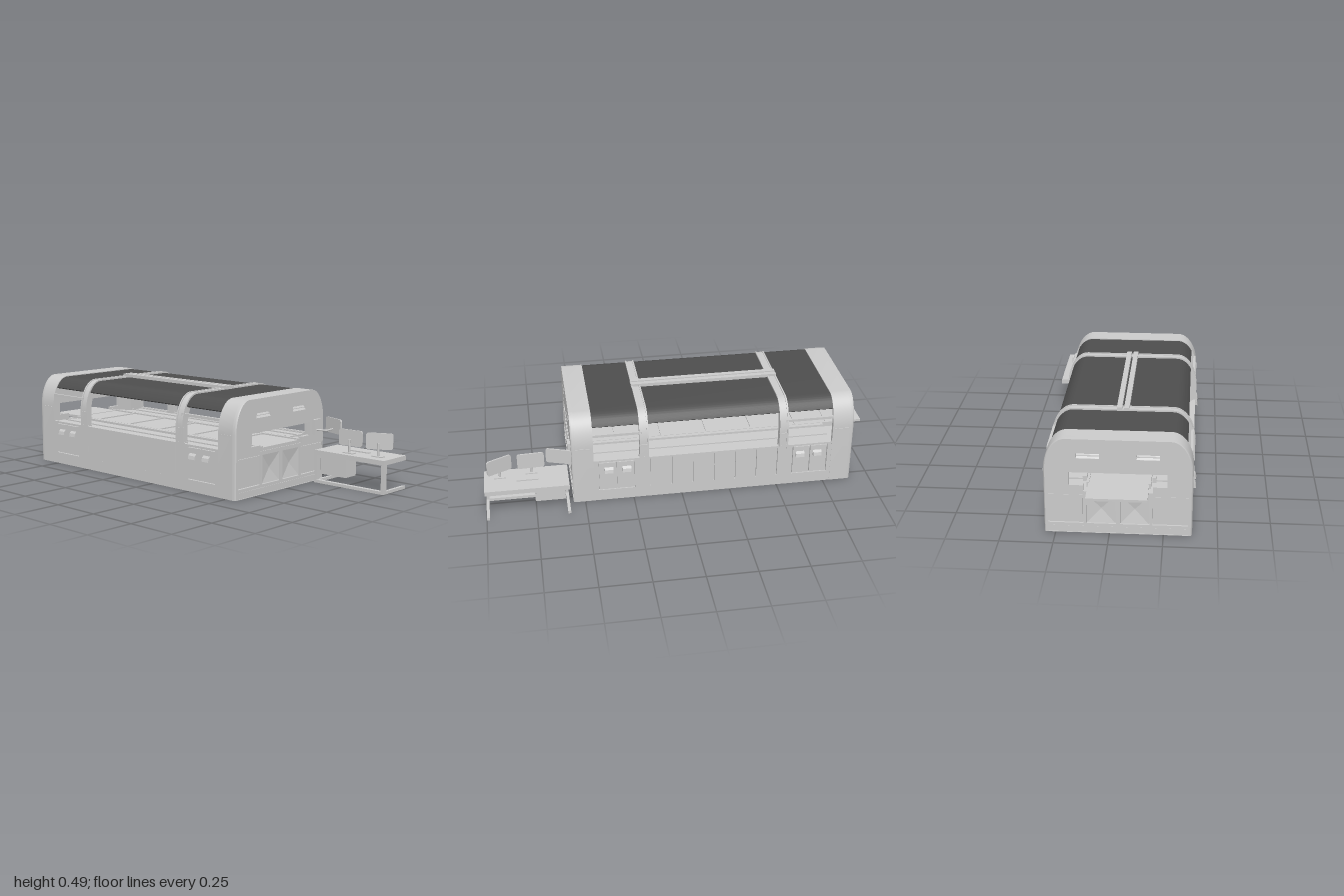
import * as THREE from 'three';
import { toCreasedNormals } from 'three/addons/utils/BufferGeometryUtils.js';

const grey = new THREE.MeshStandardMaterial({ color: 0xcccccc, side: THREE.DoubleSide });
const dark = new THREE.MeshStandardMaterial({ color: 0x4e4e4e, side: THREE.DoubleSide });

const END = 0.7275;   // half length of the housing
const CAP = 0.6175;   // where the end caps begin
const SIDES = [-1, 1];
const points = list => list.map(p => new THREE.Vector2(...p));

function add(parent, name, geometry, material = grey) {
  const mesh = new THREE.Mesh(geometry, material);
  mesh.name = name;
  parent.add(mesh);
  return mesh;
}

// Box given by its minimum and maximum corners
function box(parent, name, x0, x1, y0, y1, z0, z1) {
  const mesh = add(parent, name, new THREE.BoxGeometry(x1 - x0, y1 - y0, z1 - z0));
  mesh.position.set((x0 + x1) / 2, (y0 + y1) / 2, (z0 + z1) / 2);
}

// Housing outline: straight sides with elliptical shoulders, offset outwards
function outline(offset, startAngle = 0, baseY) {
  const right = [];
  if (baseY !== undefined) right.push(new THREE.Vector2(0.343 + offset, baseY));
  for (let i = 0; i <= 16; i++) {
    const a = startAngle + (Math.PI / 2 - startAngle) * i / 16;
    right.push(new THREE.Vector2(0.24 + (0.103 + offset) * Math.cos(a), 0.315 + (0.16 + offset) * Math.sin(a)));
  }
  return [...right, ...right.map(p => new THREE.Vector2(-p.x, p.y)).reverse()];
}

// Curved band following the outline
function band(parent, name, offset, thick, z0, z1, startAngle, baseY, material = grey) {
  const shape = new THREE.Shape([
    ...outline(offset, startAngle, baseY),
    ...outline(offset - thick, startAngle, baseY).reverse(),
  ]);
  const geo = new THREE.ExtrudeGeometry(shape, { depth: z1 - z0, bevelEnabled: false });
  geo.translate(0, 0, z0);
  add(parent, name, toCreasedNormals(geo, 0.5), material);
}

function buildEnd() {
  const end = new THREE.Group();
  end.name = 'endCap';
  band(end, 'capShell', 0, 0.02, CAP, END - 0.02, 0, 0);

  // End wall with stepped feed opening, panel recesses and vent slots
  const wall = new THREE.Shape(outline(0, 0, 0));
  const cut = (x0, x1, y0, y1) =>
    wall.holes.push(new THREE.Path(points([[x0, y0], [x0, y1], [x1, y1], [x1, y0]])));
  wall.holes.push(new THREE.Path(points([
    [-0.225, 0.31], [-0.225, 0.245], [-0.16, 0.245], [-0.16, 0.215],
    [0.16, 0.215], [0.16, 0.245], [0.225, 0.245], [0.225, 0.31],
  ])));

  box(end, 'wallBacking', -0.333, 0.333, 0, 0.205, END - 0.021, END - 0.015);
  cut(-0.33, 0.33, 0.002, 0.035);
  box(end, 'plinthStrip', -0.328, 0.328, 0.002, 0.033, END - 0.016, END - 0.003);
  for (const s of SIDES) {
    // Flat outer panel
    const [p0, p1] = [s * 0.16, s * 0.33].sort((a, b) => a - b);
    cut(p0, p1, 0.05, 0.197);
    box(end, 'flatPanel', p0 + 0.003, p1 - 0.003, 0.053, 0.194, END - 0.016, END - 0.004);

    // Middle panel dished as a shallow pyramid
    const cx = s * 0.0775;
    cut(cx - 0.0675, cx + 0.0675, 0.05, 0.197);
    const pyramid = new THREE.CylinderGeometry(0.02, Math.SQRT1_2, 1, 4, 1, true);
    pyramid.rotateY(Math.PI / 4);
    pyramid.rotateX(-Math.PI / 2);
    const panel = add(end, 'dishedPanel', toCreasedNormals(pyramid, 0.05));
    panel.scale.set(0.13, 0.142, 0.011);
    panel.position.set(cx, 0.1235, END - 0.0095);

    // Vent slot with sloping louvre and middle bar
    const [v0, v1] = [s * 0.085, s * 0.19].sort((a, b) => a - b);
    cut(v0, v1, 0.381, 0.405);
    box(end, 'ventBar', v0, v1, 0.392, 0.395, END - 0.012, END - 0.002);
    const louvre = add(end, 'ventLouvre', new THREE.PlaneGeometry(0.105, 0.031));
    louvre.position.set(s * 0.1375, 0.393, END - 0.011);
    louvre.rotation.x = -0.68;

    // Side trim of the cap
    box(end, 'capTrim', s * 0.343 - 0.003, s * 0.343 + 0.003, 0.305, 0.313, CAP + 0.01, END - 0.02);
  }

  // Soften the outer vertical corners
  const geo = new THREE.ExtrudeGeometry(wall, { depth: 0.02, steps: 5, bevelEnabled: false });
  const pos = geo.attributes.position;
  for (let i = 0; i < pos.count; i++) {
    const x = pos.getX(i), t = Math.min(1, pos.getZ(i) / 0.02);
    const reach = Math.max(0, Math.abs(x) - 0.24) / 0.103;
    pos.setX(i, x - Math.sign(x) * reach * 0.007 * (1 - Math.sqrt(1 - t * t)));
  }
  geo.translate(0, 0, END - 0.02);
  add(end, 'endWall', toCreasedNormals(geo, 0.5));
  return end;
}

function buildSide(s) {
  const side = new THREE.Group();
  side.name = 'sideWall';
  const slab = (name, x0, x1, ...r) =>
    box(side, name, Math.min(s * x0, s * x1), Math.max(s * x0, s * x1), ...r);
  slab('wall', 0.318, 0.33, 0, 0.232, -CAP, CAP);
  slab('plinth', 0.325, 0.342, 0, 0.06, -CAP, CAP);
  slab('topFascia', 0.325, 0.342, 0.225, 0.235, -CAP, CAP);
  slab('ledge', 0.17, 0.325, 0.22, 0.227, -CAP, CAP);
  slab('ledgeStrip', 0.25, 0.256, 0.225, 0.233, -CAP, CAP);
  slab('innerRail', 0.152, 0.172, 0.2, 0.238, -CAP, CAP);

  // Plain panels between vertical seams
  for (let i = -3; i < 3; i++) {
    slab('sidePanel', 0.325, 0.342, 0.06, 0.225, i * 0.11 + 0.0025, (i + 1) * 0.11 - 0.0025);
  }
  for (const e of SIDES) {
    const along = (name, x0, x1, y0, y1, z0, z1) =>
      slab(name, x0, x1, y0, y1, Math.min(e * z0, e * z1), Math.max(e * z0, e * z1));
    along('sidePanel', 0.325, 0.342, 0.06, 0.225, 0.3325, 0.41);
    along('sidePanel', 0.325, 0.342, 0.06, 0.225, 0.596, CAP);
    // Pair of doors with hooded handles
    for (const z of [0.4575, 0.5485]) {
      along('door', 0.325, 0.342, 0.064, 0.221, z - 0.0435, z + 0.0435);
      const hood = new THREE.Shape(points([[0, 0], [0.015, 0], [0.011, 0.018], [0, 0.03]]));
      const geo = new THREE.ExtrudeGeometry(hood, { depth: 0.044, bevelEnabled: false });
      geo.translate(0, 0, -0.022);
      if (s < 0) geo.rotateY(Math.PI);
      add(side, 'doorHandle', geo).position.set(s * 0.341, 0.165, e * (z - 0.007));
    }
    // Guard rail between arch and cap, joint and foot of the arch
    along('guardRail', 0.326, 0.338, 0.371, 0.384, 0.37, CAP);
    along('archJoint', 0.338, 0.348, 0.304, 0.313, 0.336, 0.384);
    along('archFoot', 0.312, 0.344, 0.225, 0.24, 0.334, 0.386);
  }
  return side;
}

function buildMachine() {
  const machine = new THREE.Group();
  machine.name = 'machine';
  machine.position.set(-0.04, 0, -0.1675);

  const front = buildEnd();
  const back = buildEnd();
  back.rotation.y = Math.PI;
  machine.add(front, back);
  for (const s of SIDES) machine.add(buildSide(s));

  // Dark canopy, arches and ridge rails
  band(machine, 'canopy', -0.004, 0.008, -CAP, CAP, 0.716, undefined, dark);
  for (const s of SIDES) {
    const z = s * 0.36;
    band(machine, 'arch', 0, 0.03, z - 0.022, z + 0.022, 0, 0.22);
    for (const e of SIDES) {
      const r = z + e * 0.019;
      band(machine, 'archRib', 0.004, 0.037, r - 0.004, r + 0.004, 0, 0.22);
    }
    box(machine, 'ridgeRail', s * 0.0175 - 0.0125, s * 0.0175 + 0.0125, 0.466, 0.488, -0.385, 0.385);
  }

  // Deck and conveyor bed
  box(machine, 'deck', -0.29, 0.29, 0.203, 0.212, -END + 0.02, END - 0.02);
  box(machine, 'conveyorBed', -0.14, 0.14, 0.212, 0.231, -0.68, END - 0.004);
  for (const s of SIDES) {
    box(machine, 'conveyorRail', s * 0.143 - 0.006, s * 0.143 + 0.006, 0.205, 0.238, -0.68, END - 0.004);
  }
  for (let i = -2; i <= 2; i++) {
    box(machine, 'crossBar', -0.14, 0.14, 0.229, 0.237, i * 0.24 - 0.008, i * 0.24 + 0.008);
  }
  // Fittings under the deck
  for (let i = 0; i < 4; i++) {
    const z = -0.42 + i * 0.28;
    box(machine, 'underPanel', -0.12, 0.12, 0.198, 0.205, z - 0.12, z + 0.12);
    add(machine, 'drain', new THREE.CylinderGeometry(0.035, 0.035, 0.01, 20)).position.set(i % 2 ? 0.06 : -0.06, 0.199, z);
  }
  box(machine, 'outfeedTray', -0.14, 0.14, 0.222, 0.234, -0.8325, -0.64);
  return machine;
}

// Rounded screen spanning two points in plan
function screen(parent, a, b, y0, y1) {
  const w = Math.hypot(b[0] - a[0], b[1] - a[1]), h = y1 - y0, r = 0.012;
  const s = new THREE.Shape();
  const corners = [[1, 1], [-1, 1], [-1, -1], [1, -1]];
  corners.forEach(([i, j], k) =>
    s.absarc(i * (w / 2 - r), j * (h / 2 - r), r, k * Math.PI / 2, (k + 1) * Math.PI / 2));
  const geo = new THREE.ExtrudeGeometry(s, { depth: 0.008, bevelEnabled: false, curveSegments: 6 });
  geo.translate(0, 0, -0.004);
  const mesh = add(parent, 'screen', toCreasedNormals(geo, 0.5));
  mesh.position.set((a[0] + b[0]) / 2, (y0 + y1) / 2, (a[1] + b[1]) / 2);
  mesh.rotation.y = Math.atan2(a[1] - b[1], b[0] - a[0]);
}

function buildDesk() {
  const desk = new THREE.Group();
  desk.name = 'operatorDesk';
  box(desk, 'desktop', 0.203, 0.396, 0.145, 0.169, 0.58, 1);
  for (const z of [0.58, 0.985]) {
    box(desk, 'leg', 0.203, 0.23, 0, 0.15, z, z + 0.015);
    box(desk, 'foot', 0.203, 0.396, 0, 0.015, z, z + 0.015);
  }
  box(desk, 'footRail', 0.203, 0.225, 0, 0.015, 0.58, 1);
  box(desk, 'cabinet', 0.235, 0.322, 0.042, 0.147, 0.6, 0.752);
  box(desk, 'cabinetDoor', 0.321, 0.331, 0.047, 0.143, 0.605, 0.747);
  box(desk, 'keyboard', 0.302, 0.322, 0.167, 0.175, 0.73, 0.84);

  // Two desk screens on stands
  for (const [a, b] of [[[0.25, 0.86], [0.31, 0.98]], [[0.255, 0.695], [0.262, 0.83]]]) {
    screen(desk, a, b, 0.205, 0.287);
    const x = (a[0] + b[0]) / 2 - 0.01, z = (a[1] + b[1]) / 2;
    add(desk, 'screenPost', new THREE.CylinderGeometry(0.006, 0.006, 0.07, 10)).position.set(x, 0.203, z);
    box(desk, 'screenBase', x - 0.015, x + 0.015, 0.167, 0.174, z - 0.03, z + 0.03);
  }

  // Wall box, hinged arm and third screen
  box(desk, 'armMount', 0.205, 0.255, 0.247, 0.322, 0.556, 0.575);
  const joints = [[0.225, 0.57], [0.243, 0.625], [0.3, 0.618]].map(p => new THREE.Vector3(p[0], 0.268, p[1]));
  const arm = new THREE.CurvePath();
  for (let i = 0; i < 2; i++) arm.add(new THREE.LineCurve3(joints[i], joints[i + 1]));
  add(desk, 'screenArm', new THREE.TubeGeometry(arm, 16, 0.005, 8));
  screen(desk, [0.325, 0.56], [0.283, 0.685], 0.247, 0.325);
  return desk;
}

export function createModel() {
  const model = new THREE.Group();
  model.name = 'model';
  model.add(buildMachine(), buildDesk());
  return model;
}
